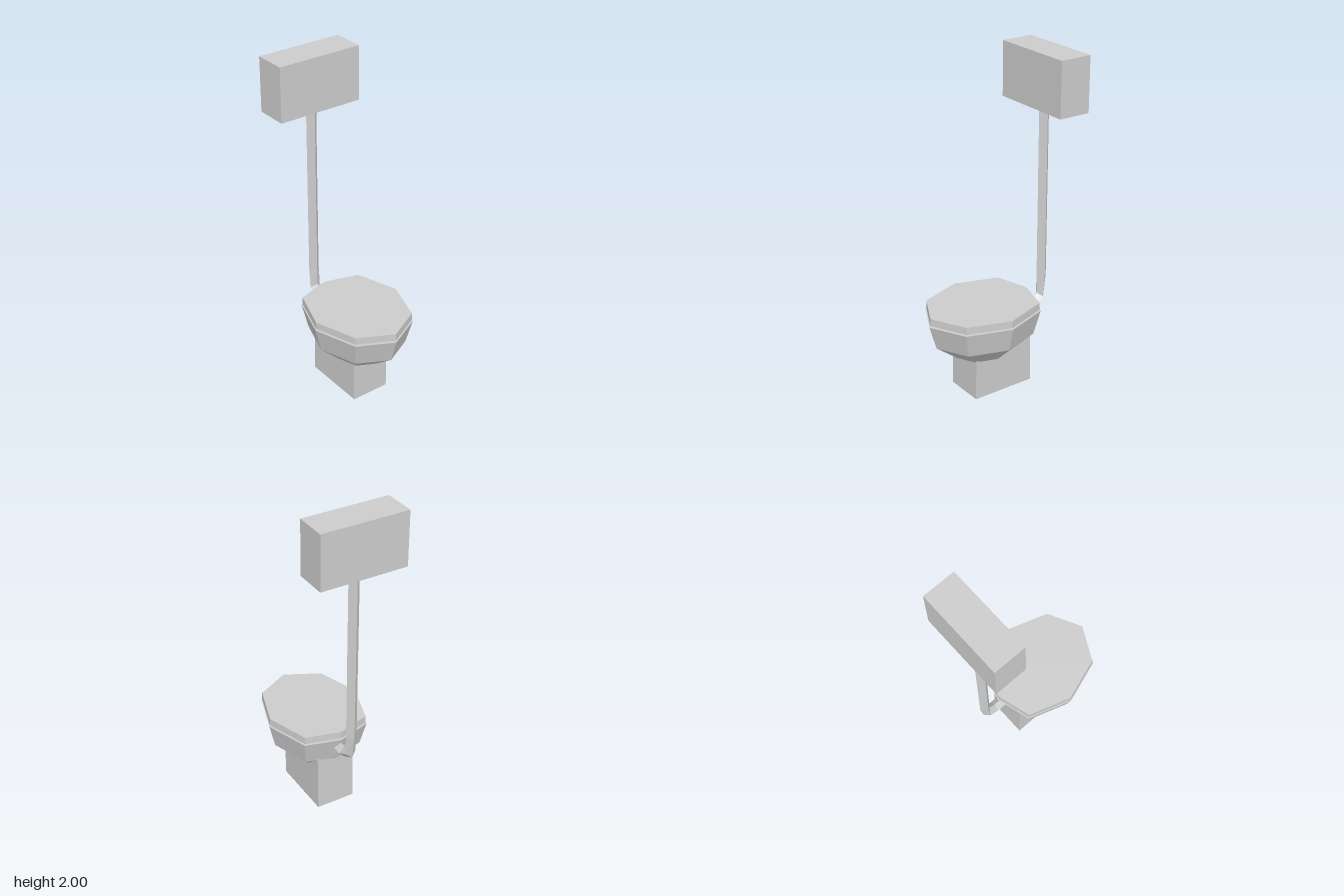
import * as THREE from 'three';

const material = new THREE.MeshStandardMaterial({ color: 0xcccccc, flatShading: true });

// Skin a list of equal-length rings (counterclockwise seen from the last ring) and cap both ends.
// Optional end centres let a cap bulge.
function loft(rings, startCentre, endCentre) {
  const n = rings[0].length;
  const mean = (ring) => [0, 1, 2].map((k) => ring.reduce((s, p) => s + p[k], 0) / n);
  const last = rings[rings.length - 1];
  const c0 = startCentre ?? mean(rings[0]);
  const c1 = endCentre ?? mean(last);
  const out = [];
  for (let i = 0; i < n; i++) {
    const j = (i + 1) % n;
    out.push(...c0, ...rings[0][j], ...rings[0][i]);
    for (let r = 0; r + 1 < rings.length; r++) {
      const a = rings[r], b = rings[r + 1];
      out.push(...a[i], ...a[j], ...b[j], ...a[i], ...b[j], ...b[i]);
    }
    out.push(...c1, ...last[i], ...last[j]);
  }
  const geometry = new THREE.BufferGeometry();
  geometry.setAttribute('position', new THREE.Float32BufferAttribute(out, 3));
  geometry.computeVertexNormals();
  return geometry;
}

// Eight-sided seat outline, scaled about its middle
const MID_Z = 0.08;
const half = [[0, 0.45], [0.21, 0.342], [0.298, 0.08], [0.21, -0.185], [0, -0.245]];
const outline = [...half, ...half.slice(1, 4).reverse().map(([x, z]) => [-x, z])];
const ringAt = (y, s) => outline.map(([x, z]) => [x * s, y, MID_Z + (z - MID_Z) * s]);

export function createModel() {
  const group = new THREE.Group();
  const add = (name, geometry, x = 0, y = 0, z = 0) => {
    const mesh = new THREE.Mesh(geometry, material);
    mesh.name = name;
    mesh.position.set(x, y, z);
    group.add(mesh);
  };

  // Bowl with a shallow pointed underside
  add('bowl', loft([ringAt(0.24, 0.5), ringAt(0.35, 0.88), ringAt(0.5, 1)], [0, 0.23, MID_Z]));

  // Lid, a hair above the rim
  add('lid', loft([ringAt(0.509, 0.985), ringAt(0.553, 0.98)]));

  // Pedestal, slightly tapered, running up into the bowl
  const foot = (y, front, back) =>
    [[0.12, y, front], [0.12, y, back], [-0.12, y, back], [-0.12, y, front]];
  add('pedestal', loft([foot(0, 0.215, -0.185), foot(0.36, 0.21, -0.178)]));

  // Flush pipe: diamond section; each row is centre y, z and the half-diagonal's y, z
  const pipePath = [
    [0.44, -0.2, 0.035, 0],
    [0.44, -0.28, 0.035, 0.003],
    [0.475, -0.34, 0.02, 0.025],
    [0.6, -0.35, 0, 0.035],
    [1.68, -0.35, 0, 0.035],
  ];
  add('flushPipe', loft(pipePath.map(([y, z, dy, dz]) => [
    [0, y + dy, z + dz], [0.035, y, z], [0, y - dy, z - dz], [-0.035, y, z],
  ])));

  // High-level tank
  add('tank', new THREE.BoxGeometry(0.53, 0.328, 0.198), 0, 1.836, -0.354);

  return group;
}
